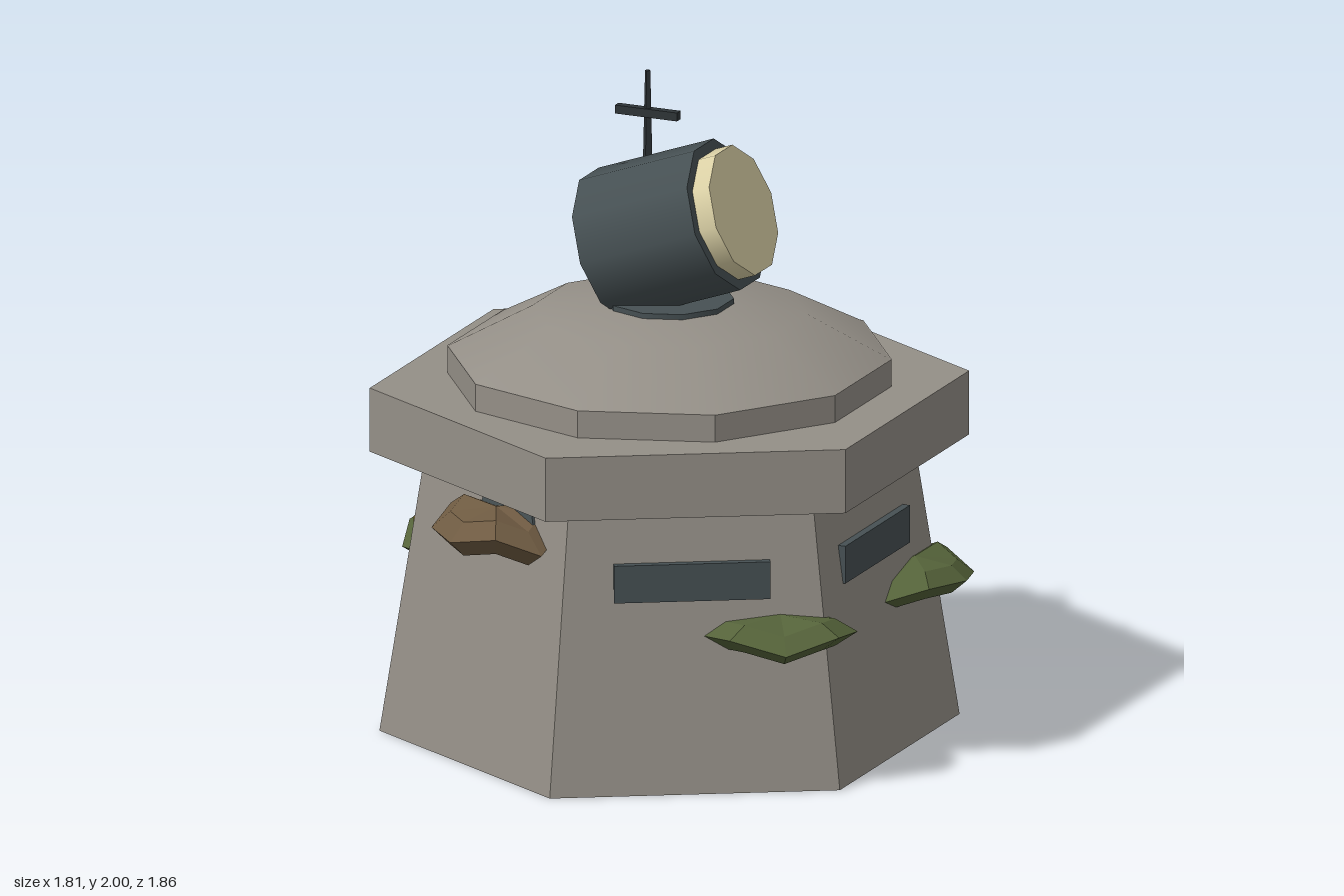
import * as THREE from 'three';

const mat = (name, color, extra = {}) => {
  const m = new THREE.MeshStandardMaterial({ color, ...extra });
  m.name = name;
  return m;
};

// Parallelogram stripe polygon, clipped to 0 <= y <= h
function clipY(points, limit, sign) {
  const out = [];
  points.forEach((a, i) => {
    const b = points[(i + 1) % points.length];
    const da = (a.y - limit) * sign, db = (b.y - limit) * sign;
    if (da >= 0) out.push(a);
    if (da * db < 0) out.push(a.clone().lerp(b, da / (da - db)));
  });
  return out;
}

function stripeGeometry(w, h) {
  const shapes = [], period = 0.12, band = 0.06, drop = w * 0.8;
  for (let y = -period; y < h + drop; y += period) {
    let pts = [[-w / 2, y], [w / 2, y - drop], [w / 2, y - drop + band], [-w / 2, y + band]]
      .map(p => new THREE.Vector2(...p));
    pts = clipY(clipY(pts, 0, 1), h, -1);
    if (pts.length > 2) shapes.push(new THREE.Shape(pts));
  }
  return new THREE.ShapeGeometry(shapes);
}

export function createModel() {
  const concrete = mat('concrete', 0x948f87, { flatShading: true, side: THREE.DoubleSide });
  const domeConcrete = mat('smooth concrete', 0x948f87);
  const slate = mat('slate metal', 0x465053);
  const dark = mat('dark metal', 0x2e3437, { flatShading: true });
  const glass = mat('lamp glass', 0xdbd1a6);
  const leaf = mat('green foliage', 0x55633a, { flatShading: true });
  const dry = mat('brown foliage', 0x6f5b42, { flatShading: true });
  const yellow = mat('hazard yellow', 0xab8a30, { side: THREE.DoubleSide });

  const model = new THREE.Group();
  model.name = 'bunker';
  model.position.x = 0.02;

  const add = (name, geo, material, x = 0, y = 0, z = 0, parent = model) => {
    const m = new THREE.Mesh(geo, material);
    m.name = name;
    m.position.set(x, y, z);
    parent.add(m);
    return m;
  };
  // Group turned so that its +z points out of one wall
  const wall = (name, degrees) => {
    const g = new THREE.Group();
    g.name = name;
    g.rotation.y = THREE.MathUtils.degToRad(degrees);
    model.add(g);
    return g;
  };

  // Tapered six-sided walls, open below, and the roof slab
  add('walls', new THREE.CylinderGeometry(0.757, 0.9, 0.9, 6, 1, true), concrete, 0, 0.45);
  add('roofSlab', new THREE.CylinderGeometry(0.93, 0.93, 0.205, 6), concrete, 0, 1.0025);

  // Ten-sided dome on a low plinth
  add('domePlinth', new THREE.CylinderGeometry(0.69, 0.69, 0.09, 10), concrete, 0, 1.147);
  const profile = [[0.69, 1.19], [0.426, 1.33], [0.14, 1.362], [0, 1.367]];
  add('dome', new THREE.LatheGeometry(profile.map(p => new THREE.Vector2(...p)), 10), domeConcrete);

  // Tilted searchlight
  add('lampBase', new THREE.CylinderGeometry(0.2, 0.2, 0.1, 10), slate, 0, 1.322);
  const lamp = new THREE.Group();
  lamp.name = 'searchlight';
  lamp.position.set(0, 1.59, 0);
  lamp.rotation.z = THREE.MathUtils.degToRad(20 - 90);
  model.add(lamp);
  add('lampDrum', new THREE.CylinderGeometry(0.24, 0.24, 0.414, 10), slate, 0, 0, 0, lamp);
  add('lampLens', new THREE.CylinderGeometry(0.207, 0.207, 0.1, 10), glass, 0, 0.217, 0, lamp);

  // Antenna
  add('antennaMast', new THREE.CylinderGeometry(0.009, 0.025, 0.68, 4), dark, -0.2, 1.66, -0.28);
  add('antennaBar', new THREE.BoxGeometry(0.21, 0.027, 0.027), dark, -0.2, 1.865, -0.28);

  // Window slits on three walls
  for (const angle of [30, 90, 150]) {
    add('windowSlit', new THREE.BoxGeometry(0.485, 0.12, 0.05), slate, 0, 0.66, 0.68, wall('windowWall', angle));
  }

  // Plain brackets under the slab
  const bracket = new THREE.Shape([[-0.18, 0.06], [-0.13, -0.01], [-0.15, -0.06], [0.15, -0.06], [0.13, -0.01], [0.18, 0.06]]
    .map(p => new THREE.Vector2(...p)));
  for (const angle of [-30, 210]) {
    const plate = add('bracketPlate', new THREE.ExtrudeGeometry(bracket, { depth: 0.009, bevelEnabled: false }),
      slate, 0.08, 0.84, 0.664, wall('bracketWall', angle));
    plate.rotation.x = -0.138;
  }

  // Doorway: striped frame block with a dark door panel
  const doorway = wall('doorway', 270);
  const W = 0.4, H = 0.625, D = 0.155, mid = 0.6975;
  add('doorFrame', new THREE.BoxGeometry(W, H, D), slate, 0, H / 2, mid, doorway);
  for (const s of [-1, 1]) {
    const face = add('frameStripes', stripeGeometry(W, H), yellow, 0, 0, mid + s * (D / 2 + 0.002), doorway);
    face.rotation.y = s > 0 ? 0 : Math.PI;
    const side = add('sideStripes', stripeGeometry(D, H), yellow, s * (W / 2 + 0.002), 0, mid, doorway);
    side.rotation.y = s * Math.PI / 2;
  }
  const top = add('topStripes', stripeGeometry(W, D), yellow, 0, H + 0.002, mid + D / 2, doorway);
  top.rotation.x = -Math.PI / 2;
  add('door', new THREE.BoxGeometry(0.31, 0.5, 0.05), dark, 0, 0.25, 0.775, doorway);

  // Flattened foliage clumps: wall angle, sideways shift, distance out, height, half height
  const clumps = [
    [leaf, 30, 0.273, 0.706, 0.488, 0.062],
    [leaf, 90, 0.27, 0.71, 0.488, 0.062],
    [leaf, 270, -0.1, 0.75, 0.49, 0.062],
    [dry, -30, 0.07, 0.71, 0.762, 0.076],
    [dry, 210, -0.28, 0.687, 0.765, 0.072],
  ];
  clumps.forEach(([material, angle, shift, out, y, half], k) => {
    const geo = new THREE.SphereGeometry(1, 8, 4), p = geo.attributes.position;
    for (let i = 0; i < p.count; i++) {
      const x = p.getX(i), z = p.getZ(i), r = Math.hypot(x, z);
      // Wavy rim
      p.setY(i, p.getY(i) + 0.4 * r * Math.sin(3 * Math.atan2(z, x) + k * 1.7));
    }
    geo.scale(0.24, half, 0.175);
    geo.computeVertexNormals();
    add('foliageClump', geo, material, shift, y, out, wall('foliageWall', angle));
  });

  return model;
}
